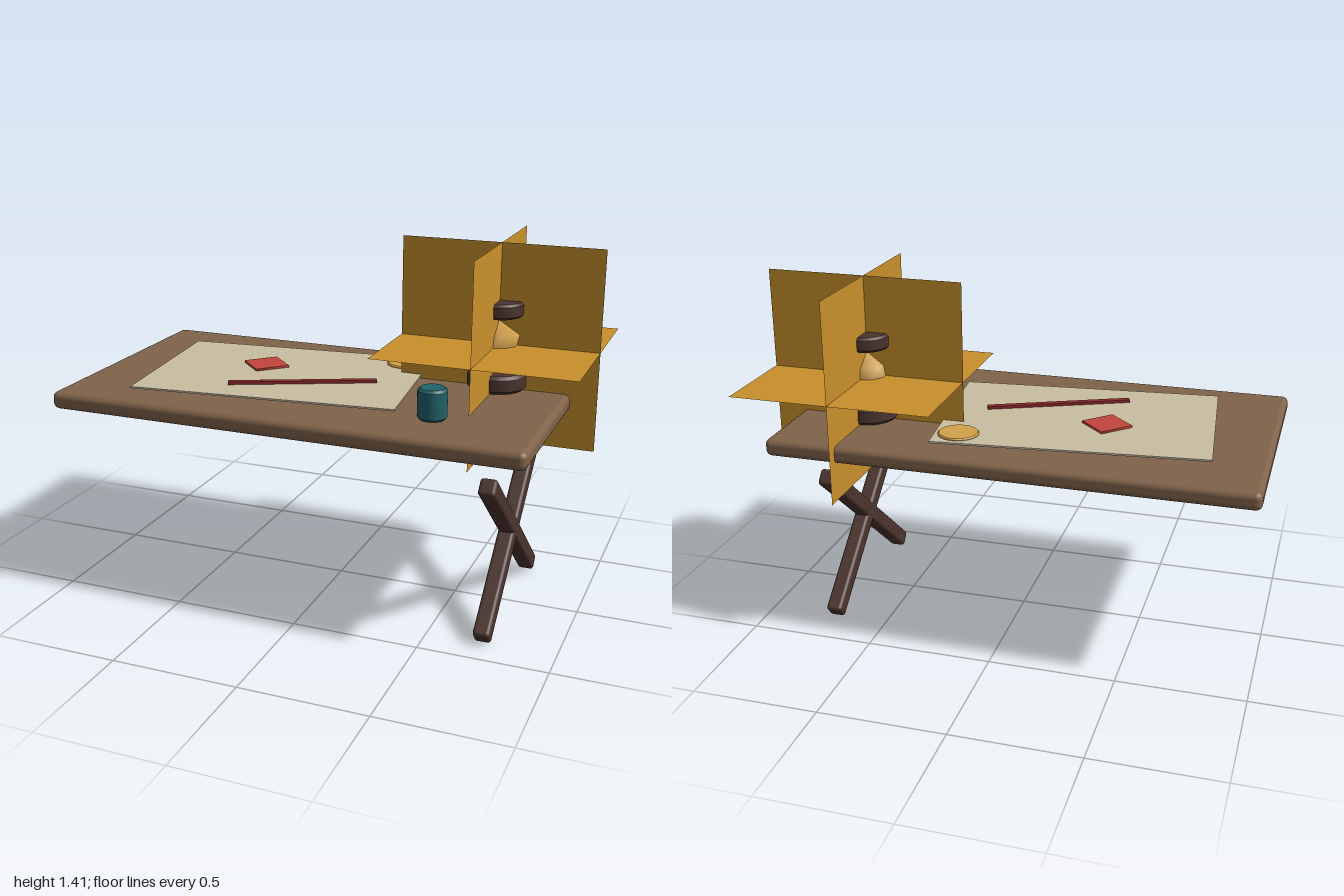
import * as THREE from 'three';
import { toCreasedNormals } from 'three/addons/utils/BufferGeometryUtils.js';
import { RoundedBoxGeometry } from 'three/addons/geometries/RoundedBoxGeometry.js';
import { ConvexGeometry } from 'three/addons/geometries/ConvexGeometry.js';

function material(name, color, side = THREE.FrontSide) {
  const m = new THREE.MeshStandardMaterial({ color, side });
  m.name = name;
  return m;
}

// Upright disc or cylinder with chamfered rims, centred on its own origin
function chamferedCylinder(radius, height, bevel) {
  const h = height / 2;
  const profile = [
    [0, -h], [radius - bevel, -h], [radius, -h + bevel],
    [radius, h - bevel], [radius - bevel, h], [0, h],
  ].map(([x, y]) => new THREE.Vector2(x, y));
  return toCreasedNormals(new THREE.LatheGeometry(profile, 32), 0.6);
}

// Twenty-sided globe with a vertex at each pole and smooth shading
function facetedGlobe(radius) {
  const points = [new THREE.Vector3(0, radius, 0), new THREE.Vector3(0, -radius, 0)];
  const ring = radius * 2 / Math.sqrt(5);
  const level = radius / Math.sqrt(5);
  for (let i = 0; i < 5; i++) {
    const a = i * Math.PI * 2 / 5;
    points.push(new THREE.Vector3(ring * Math.cos(a), level, ring * Math.sin(a)));
    points.push(new THREE.Vector3(-ring * Math.cos(a), -level, -ring * Math.sin(a)));
  }
  const geometry = new ConvexGeometry(points);
  const position = geometry.attributes.position;
  const v = new THREE.Vector3();
  for (let i = 0; i < position.count; i++) {
    v.fromBufferAttribute(position, i).normalize();
    geometry.attributes.normal.setXYZ(i, v.x, v.y, v.z);
  }
  return geometry;
}

export function createModel() {
  const model = new THREE.Group();
  model.name = 'mapTable';

  const wood = material('tableWood', 0x80634a);
  const darkWood = material('darkWood', 0x4b342e);
  const amber = material('amberPanel', 0xc9902c, THREE.DoubleSide);
  const brass = material('brass', 0xd3a24b);
  const parchment = material('parchment', 0xc9bea1);
  const red = material('sealRed', 0xc2463d);
  const darkRed = material('penRed', 0x8a2a2b);
  const teal = material('tealGlaze', 0x22626a);

  function add(parent, name, geometry, mat, x = 0, y = 0, z = 0) {
    const mesh = new THREE.Mesh(geometry, mat);
    mesh.name = name;
    mesh.position.set(x, y, z);
    parent.add(mesh);
    return mesh;
  }

  // Table top
  add(model, 'tableTop', new RoundedBoxGeometry(1.89, 0.07, 1.063, 3, 0.025), wood, -0.055, 0.805, 0.021);

  // Crossed trestle legs
  const legs = new THREE.Group();
  legs.name = 'trestle';
  legs.position.set(0.717, 0.329, 0.023);
  model.add(legs);
  for (const side of [-1, 1]) {
    const leg = add(legs, 'trestleLeg', new RoundedBoxGeometry(0.066, 0.068, 0.954, 2, 0.014), darkWood);
    leg.rotation.x = side * 0.7;
  }

  // Lantern: base, globe, cap and three crossing glow panels
  const lantern = new THREE.Group();
  lantern.name = 'lantern';
  lantern.position.set(0.598, 0, -0.157);
  model.add(lantern);
  add(lantern, 'lanternBase', chamferedCylinder(0.117, 0.072, 0.013), darkWood, 0, 0.875, 0);
  add(lantern, 'lanternGlobe', facetedGlobe(0.094), brass, 0, 1.018, 0);
  add(lantern, 'lanternCap', chamferedCylinder(0.094, 0.06, 0.01), darkWood, 0, 1.161, 0);
  for (const [rx, ry] of [[0, 0], [0, Math.PI / 2], [-Math.PI / 2, 0]]) {
    const panel = add(lantern, 'glowPanel', new THREE.PlaneGeometry(0.796, 0.796), amber, 0, 1.018, 0);
    panel.rotation.set(rx, ry, 0);
  }

  // Map sheet, turned slightly on the table
  const map = add(model, 'mapSheet', new THREE.BoxGeometry(1.062, 0.007, 0.708), parchment, -0.23, 0.853, 0.0135);
  map.rotation.y = 0.102;

  // Red diamond marker: a thin four-cornered plate
  add(model, 'diamondMarker', new THREE.CylinderGeometry(0.1, 0.1, 0.009, 4), red, -0.35, 0.863, -0.045);

  // Pen lying across the map
  const pen = add(model, 'pen', new THREE.BoxGeometry(0.585, 0.011, 0.027), darkRed, -0.112, 0.863, 0.131);
  pen.rotation.y = 0.42;

  // Brass disc and teal cup
  add(model, 'brassDisc', chamferedCylinder(0.08, 0.024, 0.005), brass, 0.18, 0.852, -0.283);
  add(model, 'cup', chamferedCylinder(0.056, 0.12, 0.01), teal, 0.48, 0.9, 0.312);

  return model;
}
